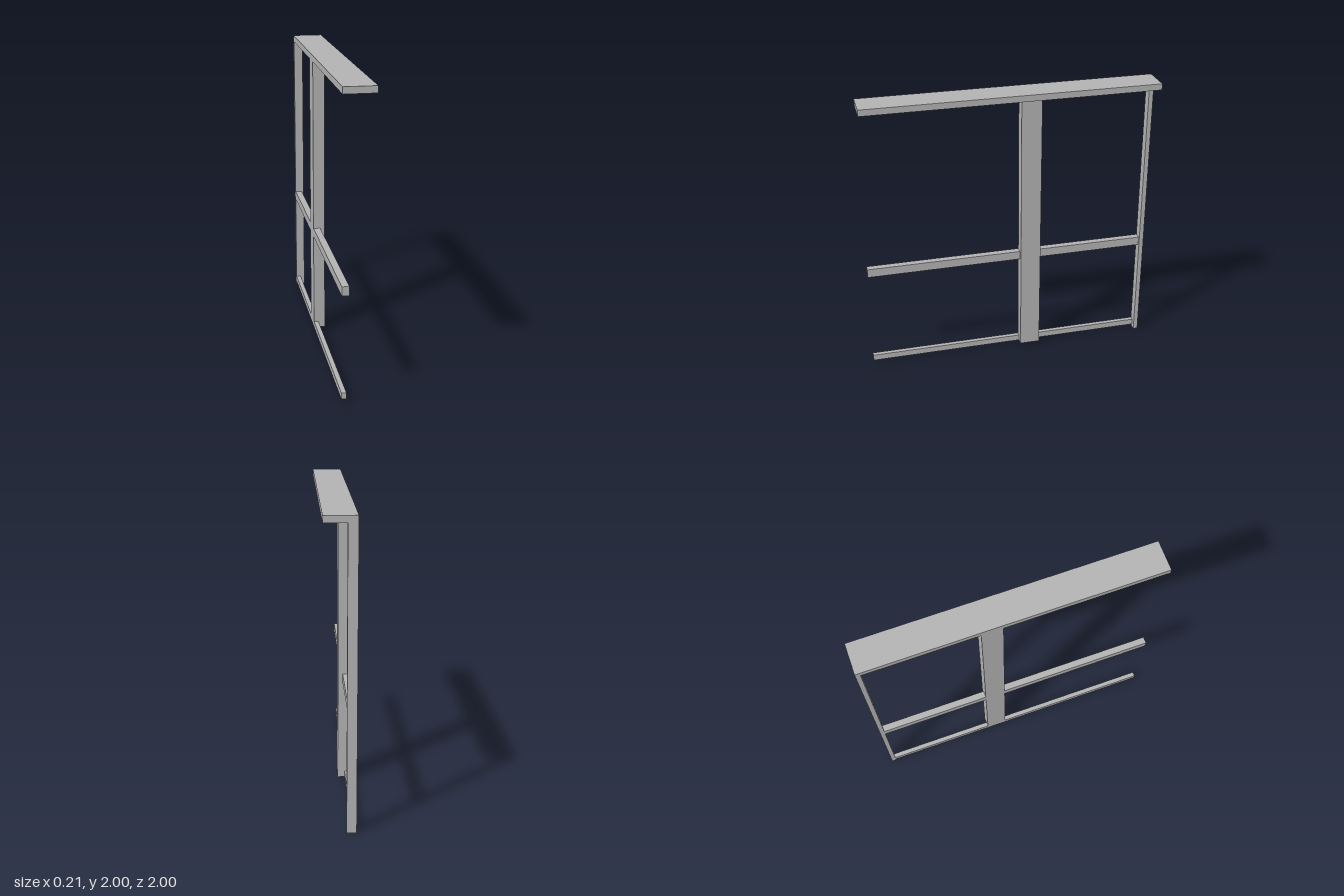
import * as THREE from 'three';

export function createModel() {
  const group = new THREE.Group();
  group.name = 'railingFrame';
  const grey = new THREE.MeshStandardMaterial({ color: 0xb2b2b2 });
  grey.name = 'grey';

  // Box given by its extents on each axis
  function bar(name, [x0, x1], [y0, y1], [z0, z1]) {
    const mesh = new THREE.Mesh(new THREE.BoxGeometry(x1 - x0, y1 - y0, z1 - z0), grey);
    mesh.position.set((x0 + x1) / 2, (y0 + y1) / 2, (z0 + z1) / 2);
    mesh.name = name;
    group.add(mesh);
  }

  const side = -0.104;     // plane shared by all the outer faces
  const top = 1.957;       // underside of the cap board
  const post = [-0.22, -0.079];
  const endZ = -0.969;

  // Cap board and uprights
  bar('capBoard', [side, 0.104], [top, 2], [-1, 1]);
  bar('centrePost', [side, -0.025], [0.022, top], post);
  bar('endPost', [side, -0.041], [0, top], [-1, endZ]);

  // Rails, interrupted by the centre post
  for (const [label, span] of [['front', [post[1], 1]], ['back', [endZ, post[0]]]]) {
    bar(label + 'MiddleRail', [side, -0.057], [0.719, 0.78], span);
    bar(label + 'BottomRail', [side, -0.072], [0.022, 0.065], span);
  }
  return group;
}
